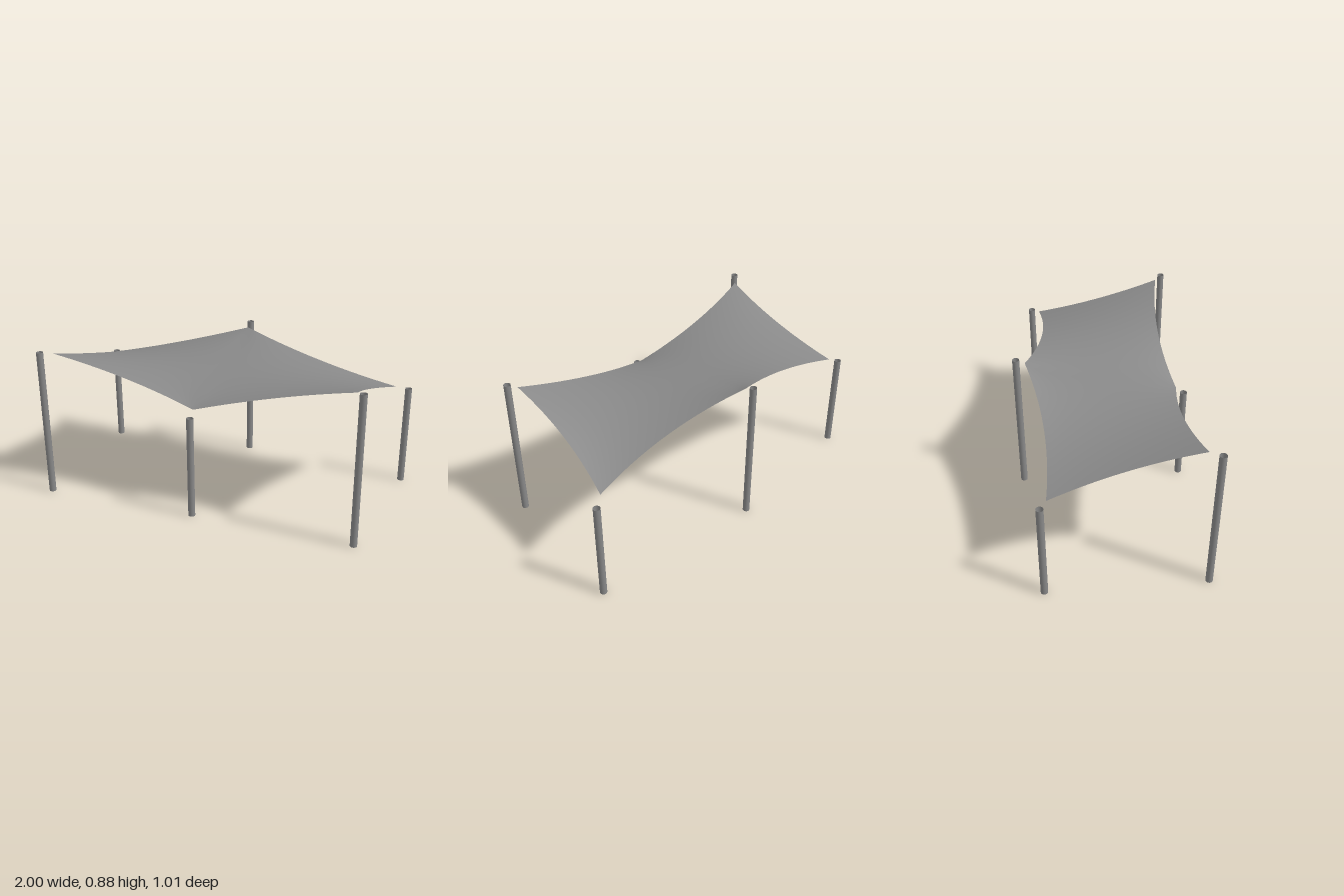
import * as THREE from 'three';

const material = new THREE.MeshStandardMaterial({ color: 0x888888, side: THREE.DoubleSide });

// Posts: x, z, height; tall and short alternate around the canopy
const TALL = 0.88, SHORT = 0.605, RADIUS = 0.02;
const POSTS = [
  ['frontRightPost', -0.98, 0.483, TALL],
  ['frontMiddlePost', -0.075, 0.476, SHORT],
  ['frontLeftPost', 0.864, 0.483, TALL],
  ['backRightPost', -0.967, -0.407, SHORT],
  ['backMiddlePost', -0.048, -0.484, TALL],
  ['backLeftPost', 0.98, -0.367, SHORT],
];

// Sail corners
const v = (x, y, z) => new THREE.Vector3(x, y, z);
const FRONT = [v(-0.924, 0.86, 0.428), v(-0.073, 0.638, 0.431), v(0.826, 0.866, 0.443)];
const BACK = [v(-0.924, 0.617, -0.372), v(-0.048, 0.854, -0.435), v(0.915, 0.625, -0.322)];

// Straight line between two corners, bowed sideways by a parabola
function bowed(a, b, t, dx, dz) {
  const bow = 4 * t * (1 - t);
  const p = a.clone().lerp(b, t);
  p.x += dx * bow;
  p.z += dz * bow;
  return p;
}

// Long edge made of two bowed spans meeting at the middle corner
function longEdge(corners, u, sags) {
  const span = u < 0.5 ? 0 : 1;
  return bowed(corners[span], corners[span + 1], u * 2 - span, 0, sags[span]);
}

function sailGeometry(nu = 56, nv = 26) {
  const geometry = new THREE.PlaneGeometry(1, 1, nu, nv);
  const pos = geometry.attributes.position;
  const row = nu + 1;
  // Fill between the four edges (rows run from back to front)
  for (let j = 0; j <= nv; j++) {
    for (let i = 0; i <= nu; i++) {
      const s = i / nu, t = j / nv;
      const p = longEdge(BACK, s, [0.047, 0.06]).multiplyScalar(1 - t)
        .addScaledVector(longEdge(FRONT, s, [-0.042, -0.046]), t)
        .addScaledVector(bowed(BACK[0], FRONT[0], t, 0.036, 0), 1 - s)
        .addScaledVector(bowed(BACK[2], FRONT[2], t, -0.036, 0), s)
        .addScaledVector(BACK[0], -(1 - s) * (1 - t))
        .addScaledVector(BACK[2], -s * (1 - t))
        .addScaledVector(FRONT[0], -(1 - s) * t)
        .addScaledVector(FRONT[2], -s * t);
      pos.setXYZ(j * row + i, p.x, p.y, p.z);
    }
  }
  // Relax the heights so the cloth settles like a stretched membrane
  for (let pass = 0; pass < 600; pass++) {
    for (let j = 1; j < nv; j++) {
      for (let i = 1; i < nu; i++) {
        const k = j * row + i;
        pos.setY(k, (pos.getY(k - 1) + pos.getY(k + 1) + pos.getY(k - row) + pos.getY(k + row)) / 4);
      }
    }
  }
  geometry.computeVertexNormals();
  return geometry;
}

export function createModel() {
  const model = new THREE.Group();
  model.name = 'shadeSail';

  const sail = new THREE.Mesh(sailGeometry(), material);
  sail.name = 'sail';
  model.add(sail);

  // Posts are hollow tubes, open at both ends
  for (const [name, x, z, height] of POSTS) {
    const post = new THREE.Mesh(new THREE.CylinderGeometry(RADIUS, RADIUS, height, 24, 1, true), material);
    post.name = name;
    post.position.set(x, height / 2, z);
    model.add(post);
  }
  return model;
}
